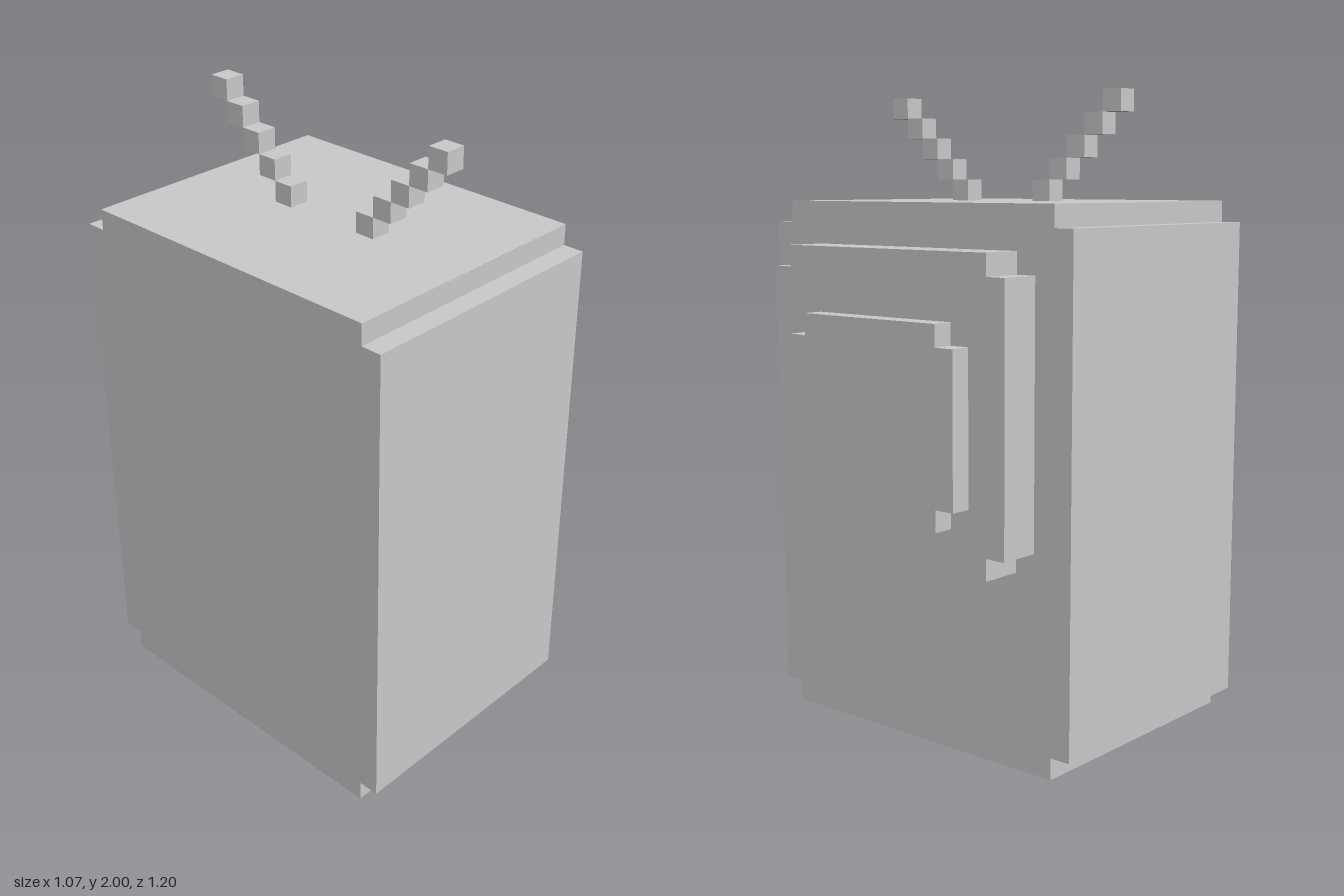
import * as THREE from 'three';

const U = 1 / 15; // size of one voxel

export function createModel() {
  const model = new THREE.Group();
  const material = new THREE.MeshStandardMaterial({ color: 0xcccccc, flatShading: true });

  // Block with its four long edges stepped in by one voxel, running from x0 to x1
  function notchedBlock(name, x0, x1, y0, y1, halfZ) {
    const h = halfZ, i = halfZ - 1;
    const outline = [
      [-i, y0], [i, y0], [i, y0 + 1], [h, y0 + 1], [h, y1 - 1], [i, y1 - 1],
      [i, y1], [-i, y1], [-i, y1 - 1], [-h, y1 - 1], [-h, y0 + 1], [-i, y0 + 1],
    ].map(([z, y]) => new THREE.Vector2(z * U, y * U));
    const geometry = new THREE.ExtrudeGeometry(new THREE.Shape(outline), {
      depth: (x1 - x0) * U, bevelEnabled: false,
    });
    geometry.rotateY(Math.PI / 2).translate(x0 * U, 0, 0);
    const mesh = new THREE.Mesh(geometry, material);
    mesh.name = name;
    model.add(mesh);
  }

  notchedBlock('body', -8, 5, 0, 25, 9);
  notchedBlock('screenFrame', 5, 7, 9, 23, 7);
  notchedBlock('screen', 7, 8, 11, 20, 5);

  // Two antennas, each a staircase of cubes leaning outward
  const cube = new THREE.BoxGeometry(U, U, U);
  for (const side of [1, -1]) {
    const antenna = new THREE.Group();
    antenna.name = side > 0 ? 'frontAntenna' : 'backAntenna';
    for (let k = 0; k < 5; k++) {
      const step = new THREE.Mesh(cube, material);
      step.name = 'antennaStep';
      step.position.set(-1.5 * U, (25.5 + k) * U, side * (2.5 + k) * U);
      antenna.add(step);
    }
    model.add(antenna);
  }

  return model;
}
